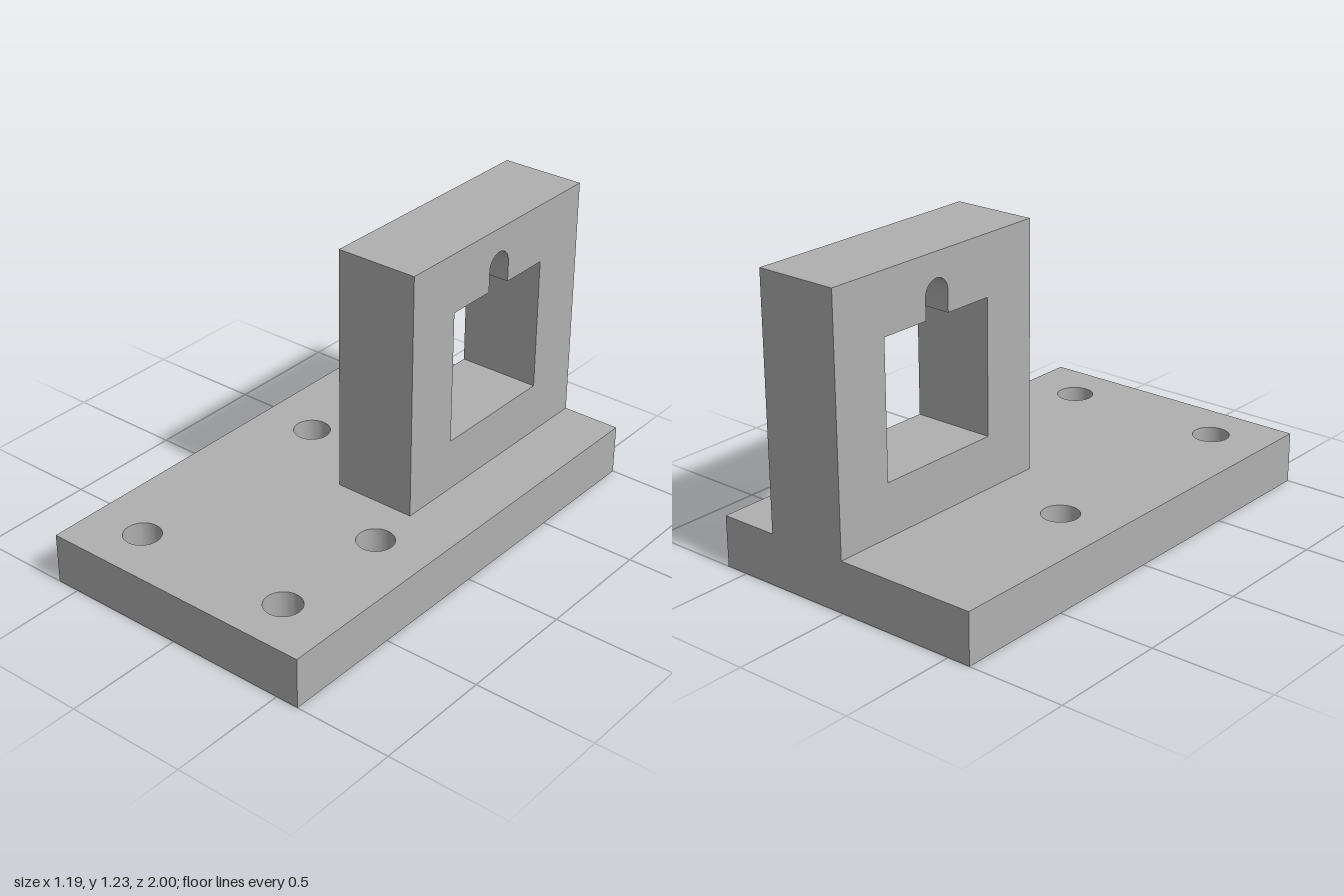
import * as THREE from 'three';
import { toCreasedNormals } from 'three/addons/utils/BufferGeometryUtils.js';

const grey = new THREE.MeshStandardMaterial({ color: 0xb0b0b0 });
grey.name = 'plain grey';

function rectangle(Type, x0, y0, x1, y1) {
  return new Type([[x0, y0], [x1, y0], [x1, y1], [x0, y1]].map(([x, y]) => new THREE.Vector2(x, y)));
}

function extrude(shape, depth) {
  return new THREE.ExtrudeGeometry(shape, { depth, bevelEnabled: false, curveSegments: 24 });
}

function addPart(group, name, geometry) {
  const mesh = new THREE.Mesh(toCreasedNormals(geometry, 0.6), grey);
  mesh.name = name;
  group.add(mesh);
}

export function createModel() {
  const group = new THREE.Group();
  group.name = 'mountingBracket';
  const baseTop = 0.21;

  // Base plate with four bolt holes, drawn in x and -z
  const base = rectangle(THREE.Shape, -0.597, -1, 0.597, 1);
  for (const [x, z] of [[-0.352, -0.196], [0.349, 0.261], [-0.352, 0.787], [0.349, 0.787]]) {
    base.holes.push(new THREE.Path().absarc(x, -z, 0.075, 0, Math.PI * 2, true));
  }
  addPart(group, 'basePlate', extrude(base, baseTop).rotateX(-Math.PI / 2));

  // Upright block, drawn in -z and y, pierced by a window with a round-topped slot
  const upright = rectangle(THREE.Shape, -0.052, baseTop, 1, 1.23);
  const windowHole = new THREE.Path();
  windowHole.moveTo(0.196, 0.427);
  windowHole.lineTo(0.75, 0.427);
  windowHole.lineTo(0.75, 0.983);
  windowHole.lineTo(0.533, 0.983);
  windowHole.absarc(0.473, 1.07, 0.06, 0, Math.PI, false);
  windowHole.lineTo(0.413, 0.983);
  windowHole.lineTo(0.196, 0.983);
  windowHole.closePath();
  upright.holes.push(windowHole);
  addPart(group, 'uprightBlock', extrude(upright, 0.349).rotateY(Math.PI / 2));

  return group;
}
